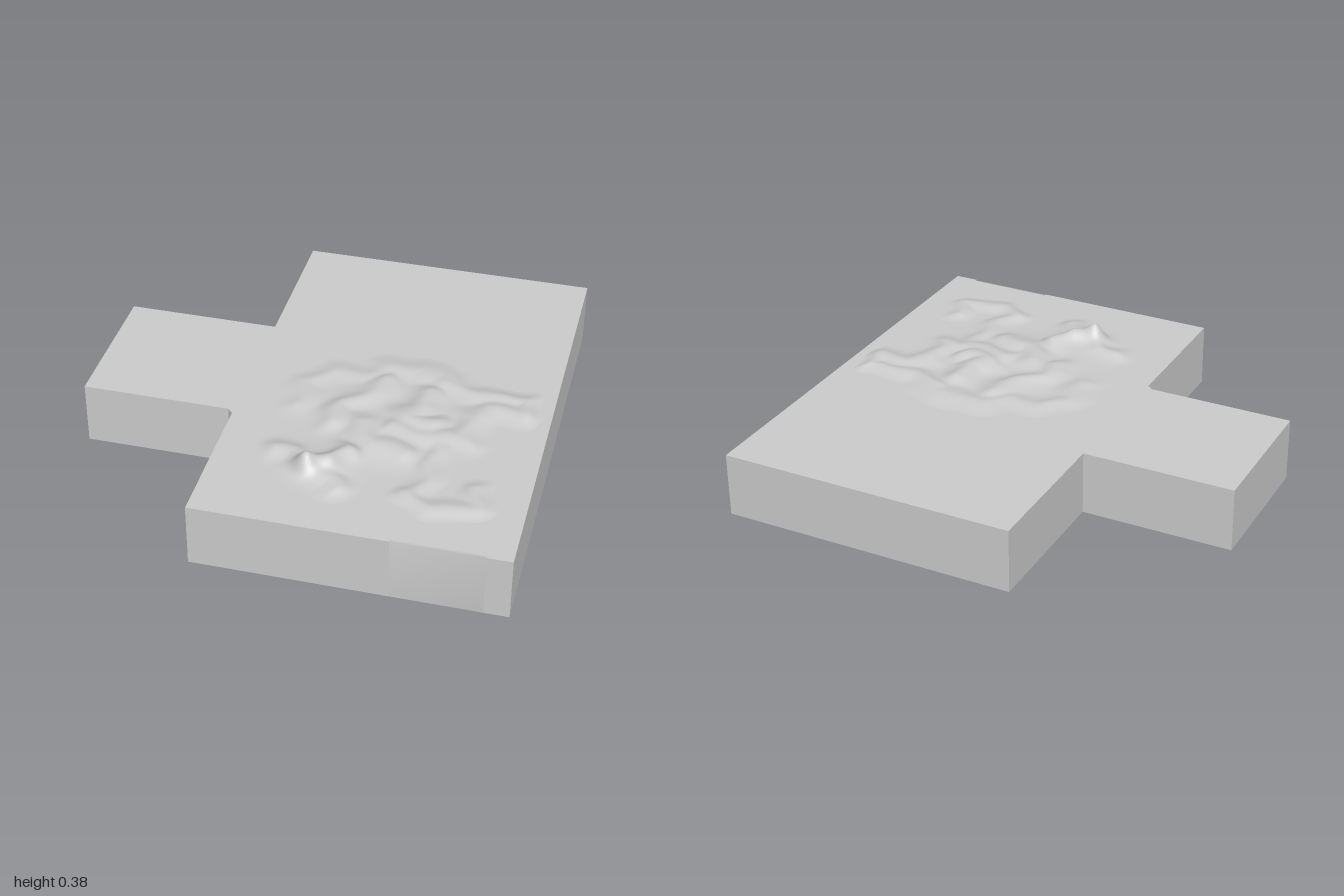
import * as THREE from 'three';

const TOP = 0.285;

// Ridge lines of the relief: height, half width, then [x, z] points
const RIDGES = [
  [0.022, 0.06, [[0.36, 0.30], [0.50, 0.32], [0.67, 0.30], [0.67, 0.14], [0.74, 0.07], [0.90, 0.06]]],
  [0.020, 0.05, [[0.90, 0.06], [0.89, -0.04], [0.72, -0.02], [0.52, -0.06]]],
  [0.018, 0.07, [[0.24, -0.12], [0.38, -0.15], [0.56, -0.09]]],
  [0.030, 0.06, [[0.45, 0.02], [0.47, 0.12], [0.40, 0.22], [0.52, 0.24]]],
  [0.024, 0.06, [[0.27, -0.02], [0.20, 0.10], [0.12, 0.20], [0.10, 0.32]]],
  [0.014, 0.06, [[0.18, -0.06], [0.02, -0.04], [-0.07, 0.05], [-0.06, 0.22]]],
  [0.026, 0.07, [[0.22, 0.30], [0.30, 0.42], [0.44, 0.46]]],
  [0.016, 0.05, [[0.57, 0.34], [0.57, 0.60], [0.53, 0.72]]],
  [0.018, 0.05, [[0.52, 0.71], [0.60, 0.76], [0.72, 0.76], [0.80, 0.72], [0.78, 0.60]]],
  [0.040, 0.06, [[0.08, 0.63], [0.18, 0.60], [0.22, 0.52]]],
  [0.022, 0.05, [[0.08, 0.63], [0.0, 0.56], [-0.08, 0.55]]],
  [0.022, 0.05, [[0.08, 0.65], [0.19, 0.70], [0.24, 0.75]]],
];
// Broad mounds and the sharp peak: x, z, radius x, radius z, height
const MOUNDS = [
  [0.30, 0.25, 0.33, 0.26, 0.010],
  [0.12, 0.58, 0.13, 0.14, 0.016],
  [0.08, 0.65, 0.038, 0.045, 0.040],
  [0.17, 0.62, 0.035, 0.04, 0.010],
];

function distanceToLine(x, z, points) {
  let best = Infinity;
  for (let i = 1; i < points.length; i++) {
    const [ax, az] = points[i - 1], [bx, bz] = points[i];
    const dx = bx - ax, dz = bz - az;
    const t = THREE.MathUtils.clamp(((x - ax) * dx + (z - az) * dz) / (dx * dx + dz * dz), 0, 1);
    best = Math.min(best, Math.hypot(x - ax - t * dx, z - az - t * dz));
  }
  return best;
}

function reliefHeight(x, z) {
  // a gentle warp makes the ridges wander
  const wx = x + 0.012 * Math.sin(z * 31 + x * 9), wz = z + 0.012 * Math.sin(x * 27 - z * 7);
  let sum = 0;
  for (const [h, w, points] of RIDGES) {
    sum += (h * Math.exp(-((distanceToLine(wx, wz, points) / w) ** 2))) ** 3;
  }
  let y = Math.cbrt(sum);
  for (const [cx, cz, rx, rz, h] of MOUNDS) {
    y += h * Math.exp(-(((x - cx) / rx) ** 2) - ((z - cz) / rz) ** 2);
  }
  // fade to the flat slab near the border of the patch
  const edge = Math.min(x + 0.32, 0.98 - x, z + 0.32, 0.97 - z);
  return y * THREE.MathUtils.smoothstep(edge, 0, 0.1);
}

export function createModel() {
  const model = new THREE.Group();
  const material = new THREE.MeshStandardMaterial({ color: 0xcccccc });
  const add = (name, geometry) => {
    const mesh = new THREE.Mesh(geometry, material);
    mesh.name = name;
    model.add(mesh);
  };

  // Slab with a side arm, a clipped inner corner and a shallow front notch
  const outline = [
    [-0.325, 1], [0.51, 1], [0.51, 0.985], [0.895, 0.985], [0.895, 1], [1, 1], [1, -1],
    [-0.325, -1], [-0.325, -0.325], [-1, -0.325], [-1, 0.325], [-0.35, 0.325], [-0.325, 0.35],
  ];
  const shape = new THREE.Shape(outline.map(([x, z]) => new THREE.Vector2(x, -z)));
  const slab = new THREE.ExtrudeGeometry(shape, { depth: TOP, bevelEnabled: false });
  slab.rotateX(-Math.PI / 2);
  add('slab', slab);

  // Front panel filling the notch, shaded smoothly over its top and bottom edges
  const profile = [[TOP, 0.985], [TOP, 1], [0, 1], [0, 0.985]];
  const panel = new THREE.PlaneGeometry(0.385, 1, 1, 3);
  const pp = panel.attributes.position;
  for (let i = 0; i < pp.count; i++) {
    const [y, z] = profile[Math.floor(i / 2)];
    pp.setXYZ(i, pp.getX(i) + 0.7025, y, z);
  }
  panel.computeVertexNormals();
  add('frontPanel', panel);

  // Sculpted relief on top; its flat border lies just under the slab surface
  const relief = new THREE.PlaneGeometry(1.3, 1.29, 130, 130);
  relief.rotateX(-Math.PI / 2);
  relief.translate(0.33, 0, 0.325);
  const rp = relief.attributes.position;
  for (let i = 0; i < rp.count; i++) {
    rp.setY(i, TOP - 0.0015 + reliefHeight(rp.getX(i), rp.getZ(i)));
  }
  relief.computeVertexNormals();
  add('terrainRelief', relief);

  return model;
}
